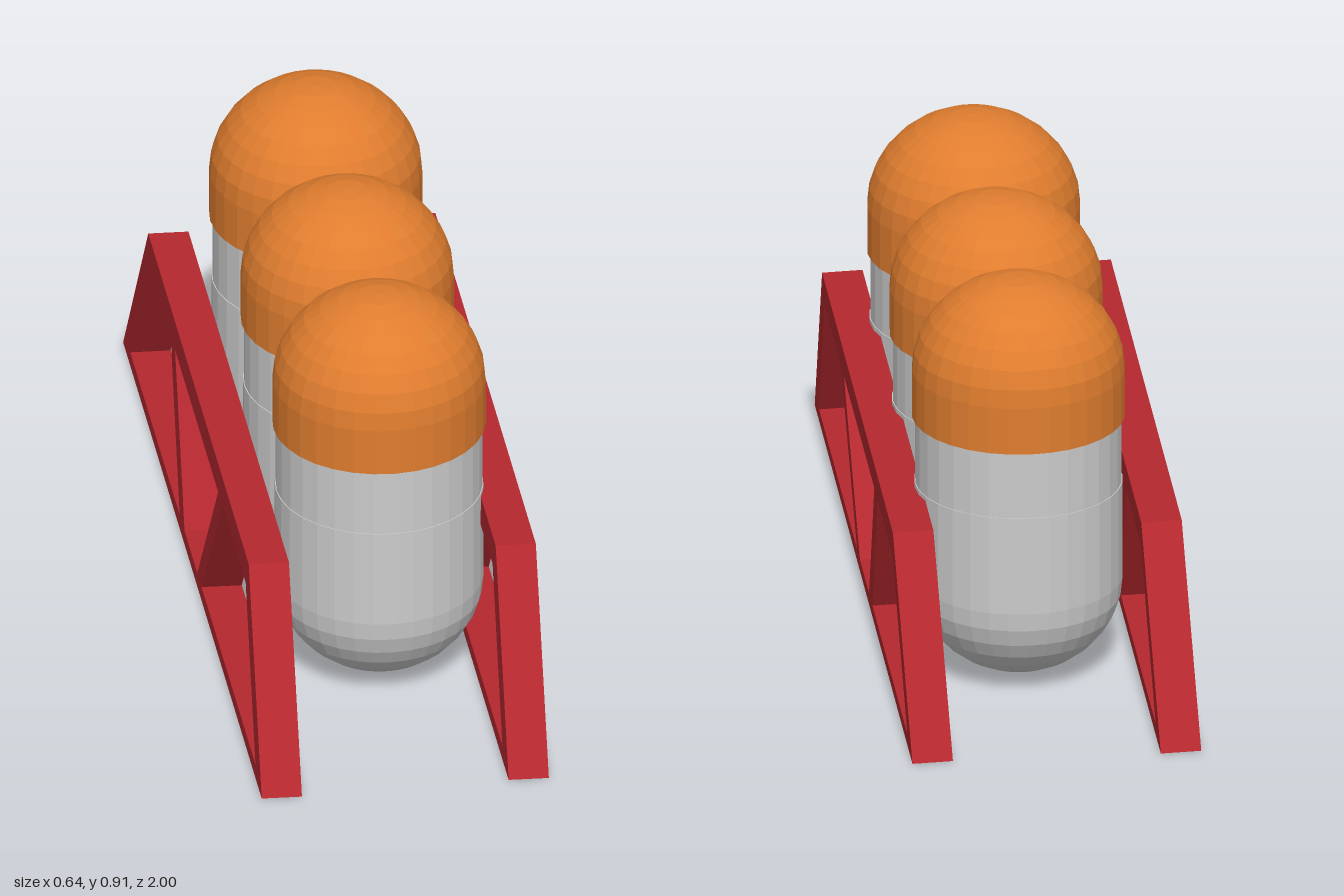
import * as THREE from 'three';

const grey = new THREE.MeshStandardMaterial({ color: 0xcccccc, flatShading: true });
const orange = new THREE.MeshStandardMaterial({ color: 0xe07d2f, flatShading: true });
const red = new THREE.MeshStandardMaterial({ color: 0xb5282f, flatShading: true });

const SEGMENTS = 32;

function addMesh(parent, name, geometry, material) {
  const mesh = new THREE.Mesh(geometry, material);
  mesh.name = name;
  parent.add(mesh);
  return mesh;
}

// Quarter-ellipse profile, from the rim (t = 0) to the pole (t = 1)
function dome(radius, rimY, poleY, steps = 8) {
  const points = [];
  for (let i = 0; i <= steps; i++) {
    const a = (i / steps) * Math.PI / 2;
    points.push(new THREE.Vector2(i === steps ? 0 : radius * Math.cos(a), rimY + (poleY - rimY) * Math.sin(a)));
  }
  return points;
}

const lathe = (points) => new THREE.LatheGeometry(points, SEGMENTS);
const v = (x, y) => new THREE.Vector2(x, y);

// Capsule tank: rounded lower shell, upper shell and an orange domed cap
function createTank() {
  const tank = new THREE.Group();
  tank.name = 'tank';
  addMesh(tank, 'lowerShell', lathe([...dome(0.226, 0.215, 0.005).reverse(), v(0.226, 0.44), v(0, 0.44)]), grey);
  addMesh(tank, 'upperShell', lathe([v(0, 0.44), v(0.224, 0.44), v(0.224, 0.62)]), grey);
  addMesh(tank, 'cap', lathe([v(0.2, 0.593), v(0.231, 0.593), ...dome(0.231, 0.7, 0.912)]), orange);
  return tank;
}

// Trapezoid truss in the z-y plane with three openings
function createRail() {
  const polygon = (pairs) => pairs.map(([z, y]) => v(z, y));
  const low = 0.032, high = 0.366;
  const shape = new THREE.Shape(polygon([[-1, 0.002], [1, 0.002], [0.725, 0.429], [-0.725, 0.429]]));
  const openings = [
    [[0.903, low], [0.694, high], [0.36, high], [0.126, low]],
    [[0.064, low], [0.297, high], [-0.325, high], [-0.12, low]],
    [[-0.19, low], [-0.389, high], [-0.694, high], [-0.903, low]],
  ];
  for (const o of openings) shape.holes.push(new THREE.Path(polygon(o)));
  const width = 0.088;
  const geometry = new THREE.ExtrudeGeometry(shape, { depth: width, bevelEnabled: false });
  geometry.rotateY(-Math.PI / 2);
  geometry.translate(width / 2, -0.215, 0);
  return geometry;
}

export function createModel() {
  const model = new THREE.Group();
  model.name = 'tankRack';

  // Row of three tanks
  [0.433, -0.026, -0.481].forEach((z) => {
    const tank = createTank();
    tank.position.set(0.022, 0, z);
    model.add(tank);
  });

  // Side rails, both leaning slightly the same way
  const railGeometry = createRail();
  for (const [name, x] of [['leftRail', 0.27], ['rightRail', -0.27]]) {
    const rail = addMesh(model, name, railGeometry, red);
    rail.position.set(x, 0.215, 0);
    rail.rotation.z = -0.031;
  }
  return model;
}
